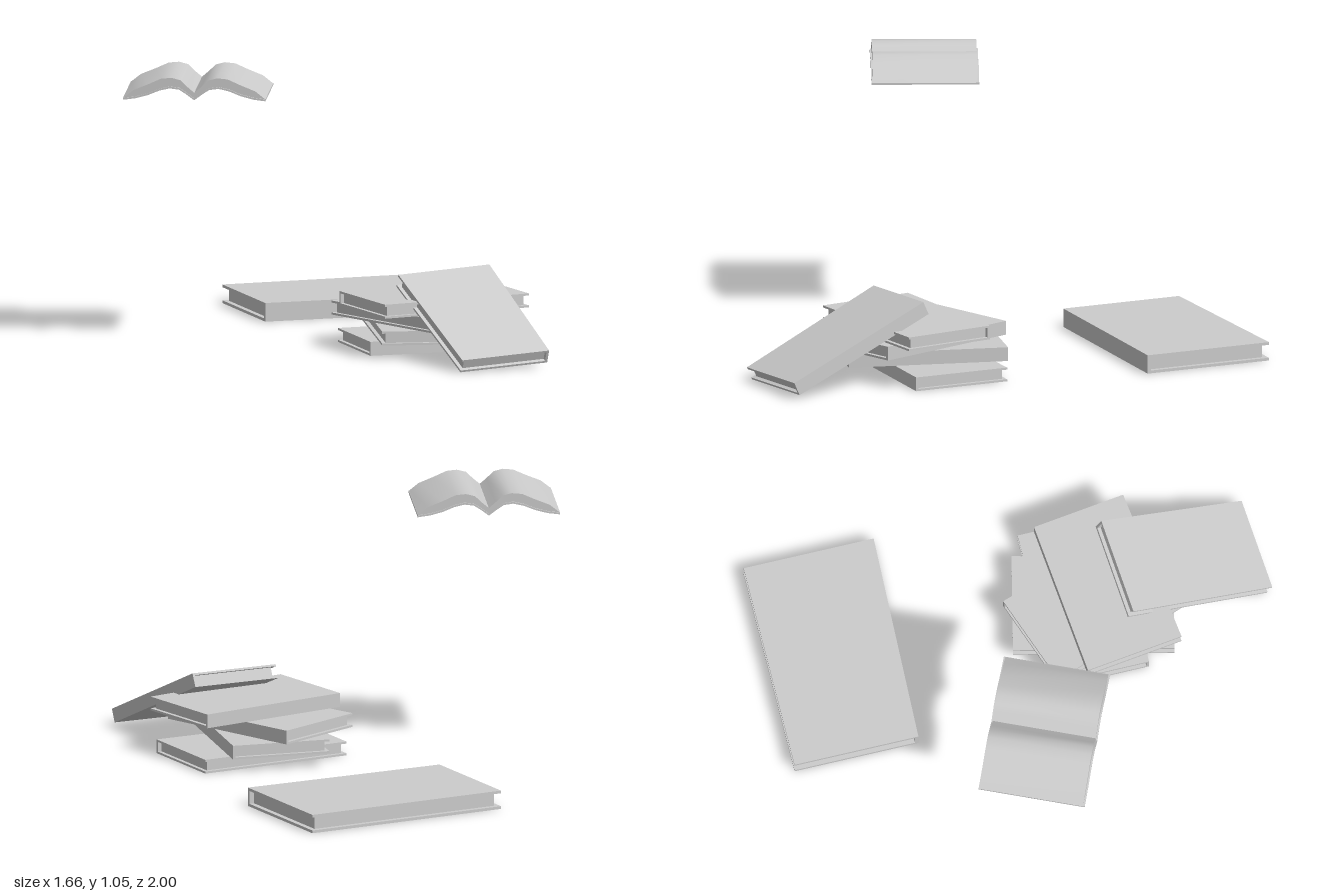
import * as THREE from 'three';
import { toCreasedNormals } from 'three/addons/utils/BufferGeometryUtils.js';

const material = new THREE.MeshStandardMaterial({ color: 0xcccccc });

// Closed-book proportions; the spine edge is very slightly slanted
const LENGTH = 0.617, WIDTH_LEFT = 0.365, WIDTH_RIGHT = 0.383;
const THICK = 0.054, COVER = 0.008, INSET = 0.015, SPINE = 0.01;

function mesh(name, geometry) {
  const m = new THREE.Mesh(geometry, material);
  m.name = name;
  return m;
}

// Upright slab over a plan outline of [x, z] points, from y0 to y1
function slab(name, points, y0, y1) {
  const shape = new THREE.Shape(points.map(([x, z]) => new THREE.Vector2(x, -z)));
  const geometry = new THREE.ExtrudeGeometry(shape, { depth: y1 - y0, bevelEnabled: false });
  geometry.rotateX(-Math.PI / 2).translate(0, y0, 0);
  return mesh(name, geometry);
}

// Closed book: origin at the fore edge's right corner, spine towards +z, lying along -x
function closedBook(name) {
  const book = new THREE.Group();
  book.name = name;
  const spineZ = (x) => WIDTH_RIGHT + (x / LENGTH) * (WIDTH_RIGHT - WIDTH_LEFT);
  const plan = (x0, x1, fore, back) => [
    [x0, fore ?? spineZ(x0) - SPINE], [x0, spineZ(x0) - back],
    [x1, spineZ(x1) - back], [x1, fore ?? spineZ(x1) - SPINE],
  ];
  const board = plan(-LENGTH, 0, 0, 0);
  book.add(
    slab('bottomCover', board, 0, COVER),
    slab('topCover', board, THICK - COVER, THICK),
    slab('spine', plan(-LENGTH, 0, null, 0), COVER, THICK - COVER),
    slab('pages', plan(INSET - LENGTH, -INSET, INSET, SPINE), COVER, THICK - COVER),
  );
  return book;
}

// Open book: a mirrored wave profile extruded along z
function openBook() {
  const book = new THREE.Group();
  book.name = 'openBook';
  // Half profiles from the centre fold outwards, [x, y]
  const top = [[0, 0.996], [0.026, 1.018], [0.053, 1.044], [0.088, 1.053],
    [0.128, 1.049], [0.177, 1.027], [0.234, 1.004], [0.268, 0.977]];
  const under = [[0, 0.975], [0.031, 0.998], [0.057, 1.015], [0.093, 1.02],
    [0.133, 1.011], [0.177, 0.993], [0.226, 0.98], [0.273, 0.974]];
  const both = (half) => [...half.slice(1).reverse().map(([x, y]) => [-x, y]), ...half];
  const sheet = (name, upper, lower, depth) => {
    const outline = [...both(lower), ...both(upper).reverse()];
    const shape = new THREE.Shape(outline.map(([x, y]) => new THREE.Vector2(x, y)));
    const geometry = new THREE.ExtrudeGeometry(shape, { depth, bevelEnabled: false });
    geometry.translate(0, 0, -depth / 2);
    return mesh(name, toCreasedNormals(geometry, 0.6));
  };
  book.add(
    sheet('openPages', top, under, 0.4),
    sheet('openCover', under, under.map(([x, y]) => [x, y - 0.007]), 0.412),
  );
  book.position.set(-0.556, 0, 0.306);
  return book;
}

export function createModel() {
  const model = new THREE.Group();
  model.name = 'books';

  // Flat books: name, corner x, stack level, corner z, turn in degrees, scale
  const flat = [
    ['largeBook', 0.217, 0, -1.0, 23.9, 4 / 3],
    ['stackBook1', 0.54, 0, 0.005, 24, 1],
    ['stackBook2', 0.058, 1, 0.074, 101.1, 1],
    ['stackBook3', -0.048, 2, 0.27, 133.8, 1],
    ['stackBook4', 0.19, 3, 0.704, 211.4, 1],
  ];
  for (const [name, x, level, z, turn, scale] of flat) {
    const book = closedBook(name);
    book.position.set(x, level * THICK, z);
    book.rotation.y = THREE.MathUtils.degToRad(turn);
    book.scale.setScalar(scale);
    model.add(book);
  }

  // Book leaning against the stack
  const leaning = closedBook('leaningBook');
  const along = new THREE.Vector3(-0.28, 0.25, -0.485).normalize();
  const up = new THREE.Vector3(0.335, 0.015, -0.185).cross(along).normalize();
  const across = new THREE.Vector3().crossVectors(along, up);
  leaning.quaternion.setFromRotationMatrix(new THREE.Matrix4().makeBasis(along, up, across));
  leaning.position.set(0.217, 0.253, 0.491);
  model.add(leaning);

  model.add(openBook());
  return model;
}
